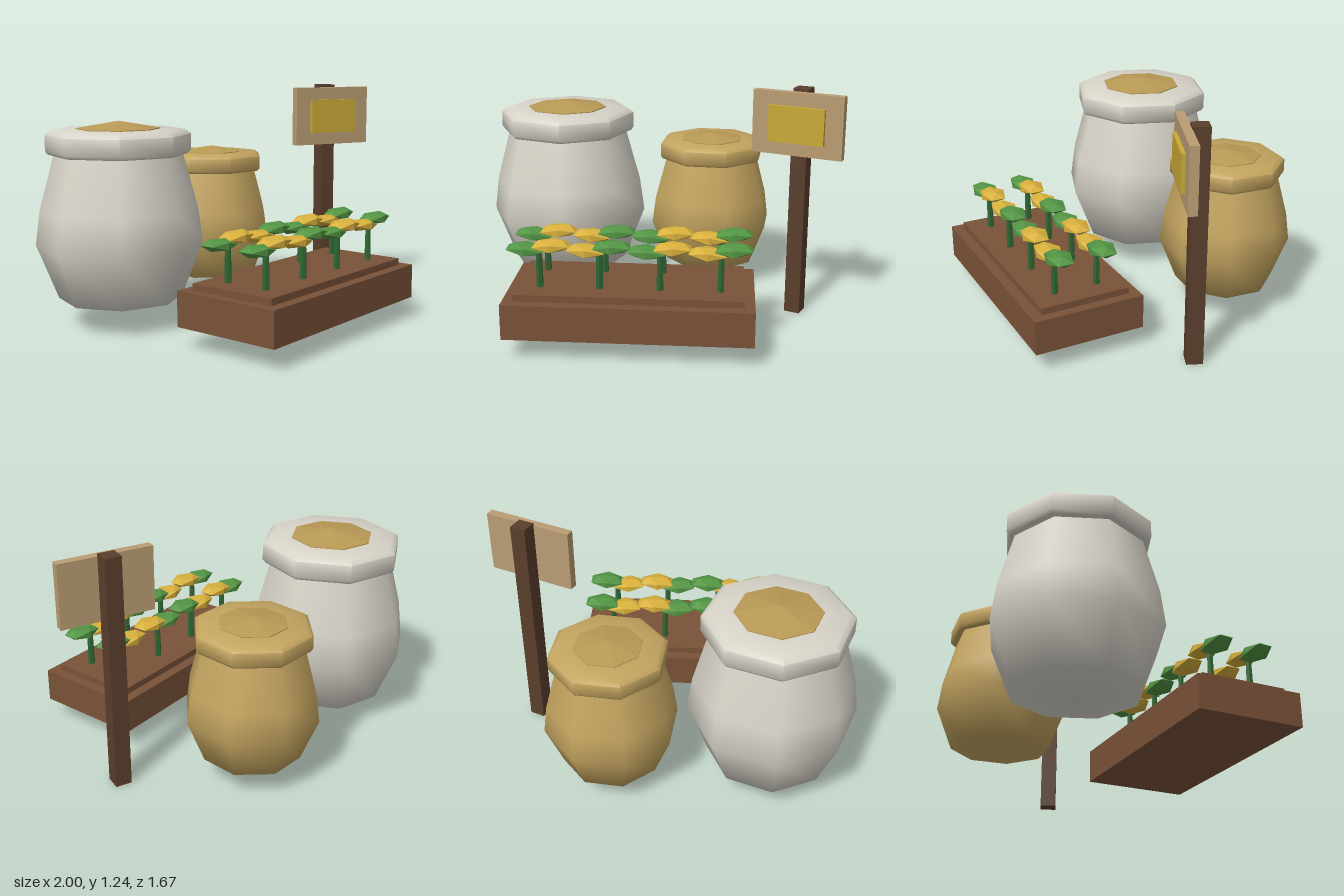
import * as THREE from 'three';
import { toCreasedNormals } from 'three/addons/utils/BufferGeometryUtils.js';

const mat = (name, color, flatShading = false) => {
  const m = new THREE.MeshStandardMaterial({ color, flatShading });
  m.name = name;
  return m;
};

export function createModel() {
  const canvas = mat('pale canvas', 0xd8d4c9);
  const burlap = mat('tan burlap', 0xc4a560);
  const grain = mat('grain', 0xb99a55, true);
  const planterWood = mat('planter brown', 0x7a5239);
  const postWood = mat('dark post wood', 0x5a3e2c);
  const boardWood = mat('light board wood', 0xb99c73);
  const gold = mat('gold plate', 0xc9a937);
  const stemGreen = mat('stem green', 0x2f6633, true);
  const leafGreen = mat('leaf green', 0x539544, true);
  const petalYellow = mat('blossom yellow', 0xd8b03c, true);

  const model = new THREE.Group();
  model.name = 'marketGarden';

  const add = (parent, name, geometry, material, x = 0, y = 0, z = 0) => {
    const mesh = new THREE.Mesh(geometry, material);
    mesh.name = name;
    mesh.position.set(x, y, z);
    parent.add(mesh);
    return mesh;
  };
  const group = (name, x, y, z, yaw) => {
    const g = new THREE.Group();
    g.name = name;
    g.position.set(x, y, z);
    g.rotation.y = yaw;
    model.add(g);
    return g;
  };
  const box = (w, h, d) => new THREE.BoxGeometry(w, h, d);
  const lathe = (pts) => new THREE.LatheGeometry(pts.map(([r, y]) => new THREE.Vector2(r, y)), 8);

  // Eight-sided sacks: bulging body, rolled collar and a low heap of grain
  const bodyGeo = lathe([[0, 0], [0.325, 0.03], [0.437, 0.315], [0.412, 0.5], [0.33, 0.8]]);
  const collarGeo = toCreasedNormals(lathe([
    [0.3, 0.785], [0.362, 0.787], [0.376, 0.805], [0.376, 0.89], [0.345, 0.913], [0.2, 0.918],
  ]), 1.0);
  const heapGeo = lathe([[0.219, 0.9], [0.219, 0.922], [0, 0.958]]);
  const sack = (name, x, z, scale, yaw, cloth) => {
    const g = group(name, x, 0.114, z, yaw);
    g.scale.setScalar(scale);
    add(g, 'sackBody', bodyGeo, cloth);
    add(g, 'sackCollar', collarGeo, cloth);
    add(g, 'grainHeap', heapGeo, grain);
  };
  sack('largeSack', -0.57, -0.325, 1, 0.175, canvas);
  sack('smallSack', 0.235, -0.51, 0.8, -0.35, burlap);

  // Planter box with a raised soil bed
  const planter = group('planter', -0.0075, 0, 0.455, 0.138);
  add(planter, 'planterBox', box(1.232, 0.18, 0.585), planterWood, 0, 0.2, 0);
  add(planter, 'soilBed', box(1.13, 0.06, 0.475), planterWood, 0, 0.295, 0);

  // Two rows of plants; each has a lower tuft and a higher one in swapped colours
  const stemGeo = new THREE.CylinderGeometry(0.015, 0.019, 0.22, 6);
  const tuftGeo = new THREE.IcosahedronGeometry(1, 0).scale(0.108, 0.034, 0.074);
  for (const z of [-0.115, 0.115]) {
    for (let i = 0; i < 4; i++) {
      const plant = new THREE.Group();
      plant.name = 'plant';
      plant.position.set((i - 1.5) * 0.298, 0, z);
      planter.add(plant);
      const greenFirst = i % 2 === 0;
      add(plant, 'stem', stemGeo, stemGreen, 0, 0.42, 0);
      add(plant, greenFirst ? 'leaf' : 'blossom', tuftGeo,
        greenFirst ? leafGreen : petalYellow, -0.066, 0.52, 0).rotation.z = -0.06;
      add(plant, greenFirst ? 'blossom' : 'leaf', tuftGeo,
        greenFirst ? petalYellow : leafGreen, 0.06, 0.541, 0).rotation.z = 0.04;
    }
  }

  // Signpost with a plain plate on its board
  const sign = group('signpost', 0.772, 0, -0.108, -0.26);
  add(sign, 'post', box(0.085, 1.235, 0.085), postWood, 0, 0.6175, 0);
  add(sign, 'signBoard', box(0.486, 0.33, 0.046), boardWood, 0, 1.055, 0.064);
  add(sign, 'signPlate', box(0.3, 0.19, 0.024), gold, 0, 1.055, 0.096);

  return model;
}
